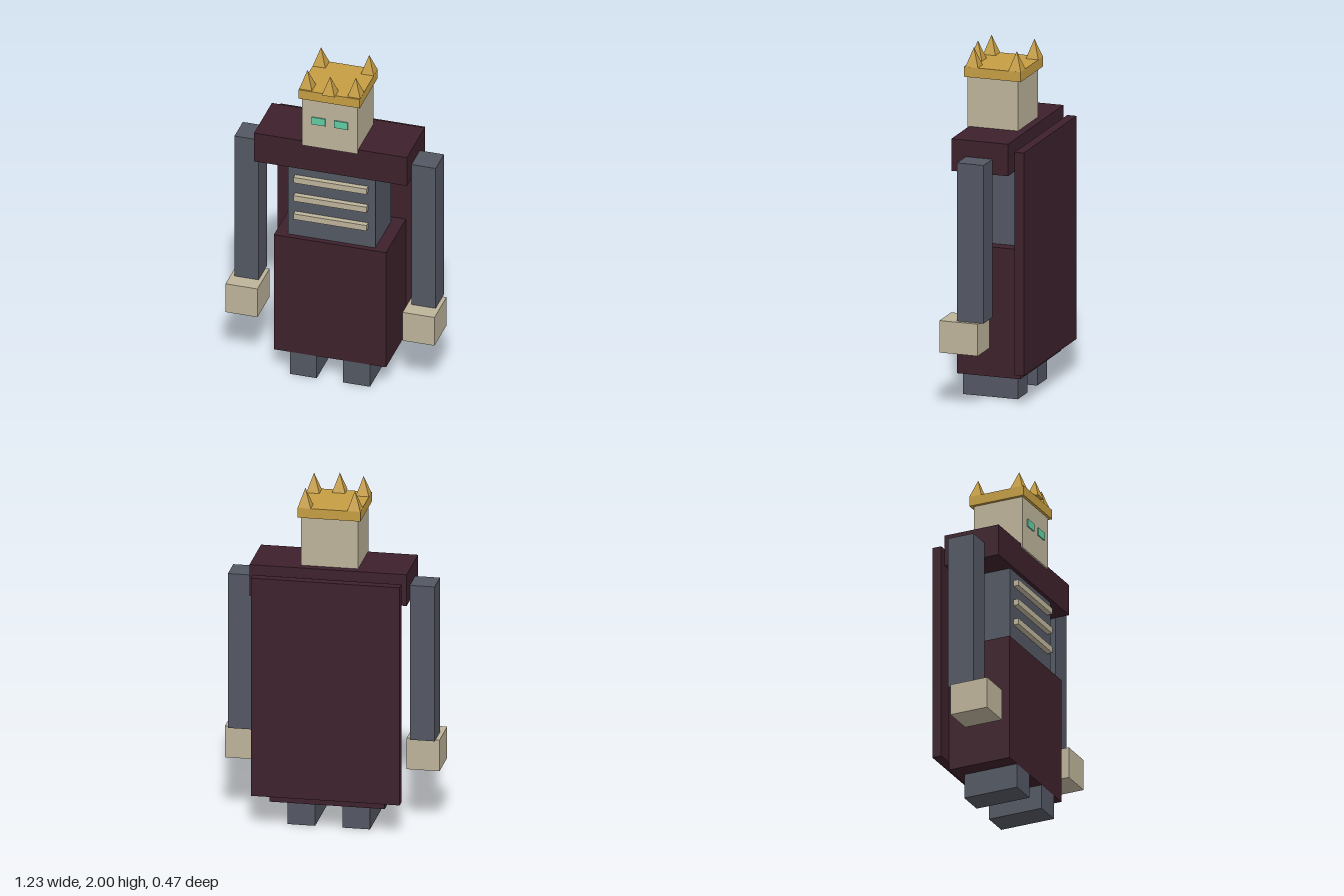
import * as THREE from 'three';

const mat = (name, color) => {
  const m = new THREE.MeshStandardMaterial({ color });
  m.name = name;
  return m;
};

export function createModel() {
  const group = new THREE.Group();
  const cloth = mat('maroon cloth', 0x3d212c);
  const slate = mat('slate', 0x535762);
  const bone = mat('bone', 0xbdb39a);
  const gold = mat('gold', 0xc59d43);
  const glow = mat('green glow', 0x62cba2);

  const add = (name, geometry, material, x, y, z) => {
    const mesh = new THREE.Mesh(geometry, material);
    mesh.name = name;
    mesh.position.set(x, y, z);
    group.add(mesh);
  };
  // Box given by its extents on each axis
  const box = (name, material, [x0, x1], [y0, y1], [z0, z1]) =>
    add(name, new THREE.BoxGeometry(x1 - x0, y1 - y0, z1 - z0), material,
      (x0 + x1) / 2, (y0 + y1) / 2, (z0 + z1) / 2);
  // Mirrored pair of boxes
  const pair = (name, material, [x0, x1], y, z) => {
    box(name + 'Left', material, [x0, x1], y, z);
    box(name + 'Right', material, [-x1, -x0], y, z);
  };

  // Body and clothing
  box('robe', cloth, [-0.33, 0.33], [0.145, 0.9], [-0.18, 0.2]);
  box('torso', slate, [-0.257, 0.257], [0.9, 1.356], [-0.13, 0.168]);
  box('shoulders', cloth, [-0.45, 0.45], [1.356, 1.542], [-0.15, 0.19]);
  box('cape', cloth, [-0.426, 0.426], [0.193, 1.493], [-0.236, -0.181]);
  for (const y of [1.04, 1.16, 1.28]) {
    box('rib', bone, [-0.215, 0.215], [y - 0.018, y + 0.018], [0.168, 0.2]);
  }

  // Limbs
  pair('leg', slate, [0.078, 0.236], [0, 0.145], [-0.13, 0.2]);
  pair('arm', slate, [0.45, 0.592], [0.524, 1.446], [-0.056, 0.103]);
  pair('hand', bone, [0.427, 0.615], [0.338, 0.524], [-0.03, 0.199]);

  // Head
  box('head', bone, [-0.163, 0.163], [1.52, 1.835], [-0.104, 0.2]);
  pair('eye', glow, [0.026, 0.106], [1.672, 1.718], [0.2, 0.207]);

  // Crown: band with five four-sided spikes
  box('crownBand', gold, [-0.18, 0.18], [1.833, 1.891], [-0.126, 0.215]);
  const spike = new THREE.ConeGeometry(0.0375 * Math.SQRT2, 0.109, 4).rotateY(Math.PI / 4).toNonIndexed();
  spike.computeVertexNormals();
  for (const [x, z] of [[-0.142, -0.089], [0.142, -0.089], [-0.142, 0.168], [0.142, 0.168], [0, 0.197]]) {
    add('crownSpike', spike, gold, x, 1.9455, z);
  }
  return group;
}
